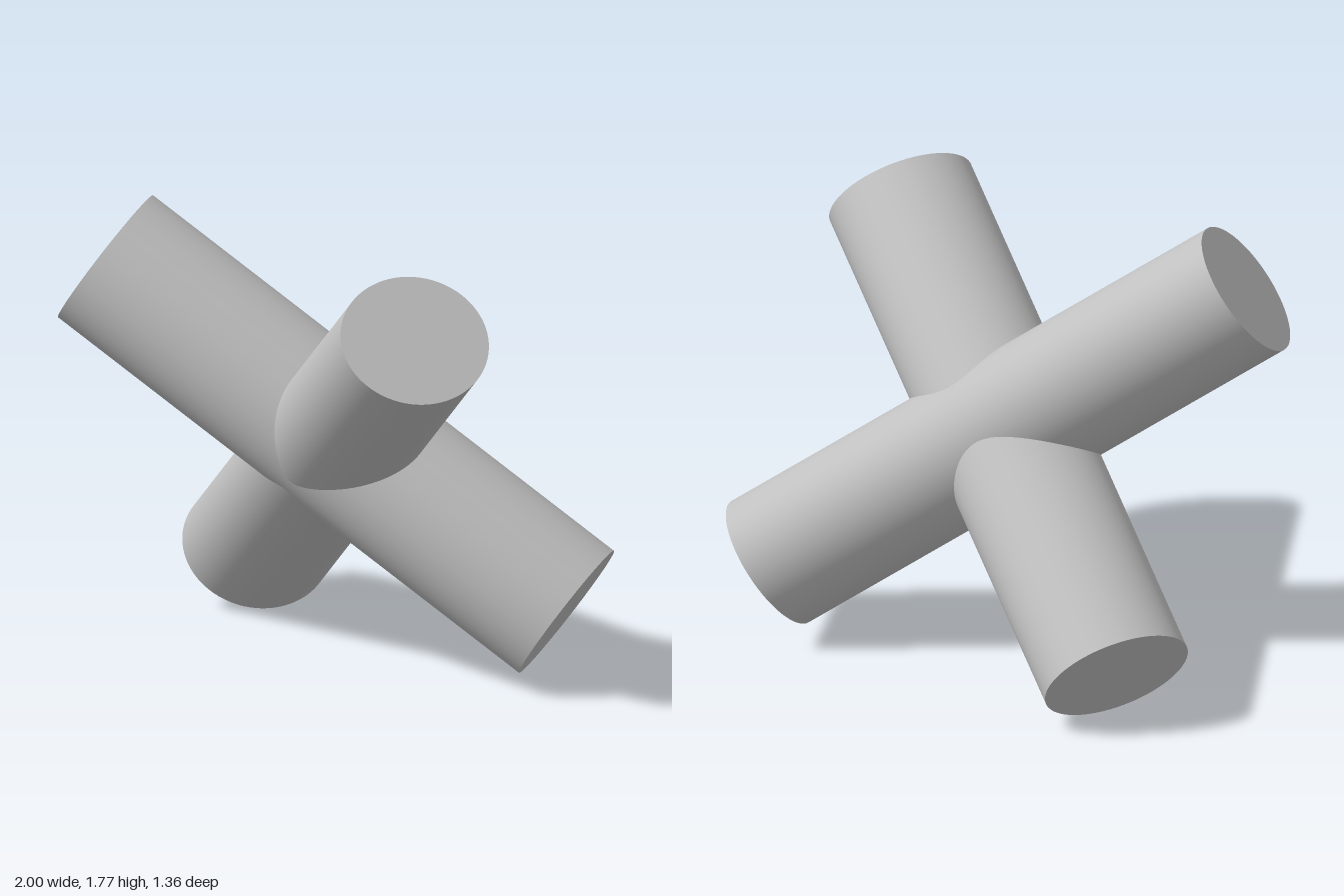
import * as THREE from 'three';

// Solid rod with a slightly oval section between two end centres.
// wide: direction of the longer half-width a; b is the shorter half-width.
function makeRod(name, start, end, wide, a, b, material) {
  const p = new THREE.Vector3(...start);
  const q = new THREE.Vector3(...end);
  const axis = q.clone().sub(p);
  const length = axis.length();
  axis.normalize();
  const u = new THREE.Vector3(...wide);
  u.addScaledVector(axis, -u.dot(axis)).normalize();
  const v = u.clone().cross(axis);

  const geometry = new THREE.CylinderGeometry(1, 1, length, 96);
  geometry.scale(a, 1, b);
  geometry.applyMatrix4(
    new THREE.Matrix4().makeBasis(u, axis, v).setPosition(p.add(q).multiplyScalar(0.5))
  );
  const mesh = new THREE.Mesh(geometry, material);
  mesh.name = name;
  return mesh;
}

export function createModel() {
  const grey = new THREE.MeshStandardMaterial({ color: 0xc0c0c0 });
  grey.name = 'light grey';

  const model = new THREE.Group();
  model.name = 'crossedRods';
  model.add(
    // rod from the lower left back to the upper right front
    makeRod('fallingRod', [0.825, 0.28, -0.405], [-0.828, 1.53, 0.4], [-0.08, -0.616, 0.784], 0.298, 0.262, grey),
    // rod crossing it at the middle
    makeRod('risingRod', [-0.804, 0.205, -0.415], [0.795, 1.535, 0.408], [-0.5, 0.086, 0.863], 0.294, 0.26, grey)
  );
  return model;
}
